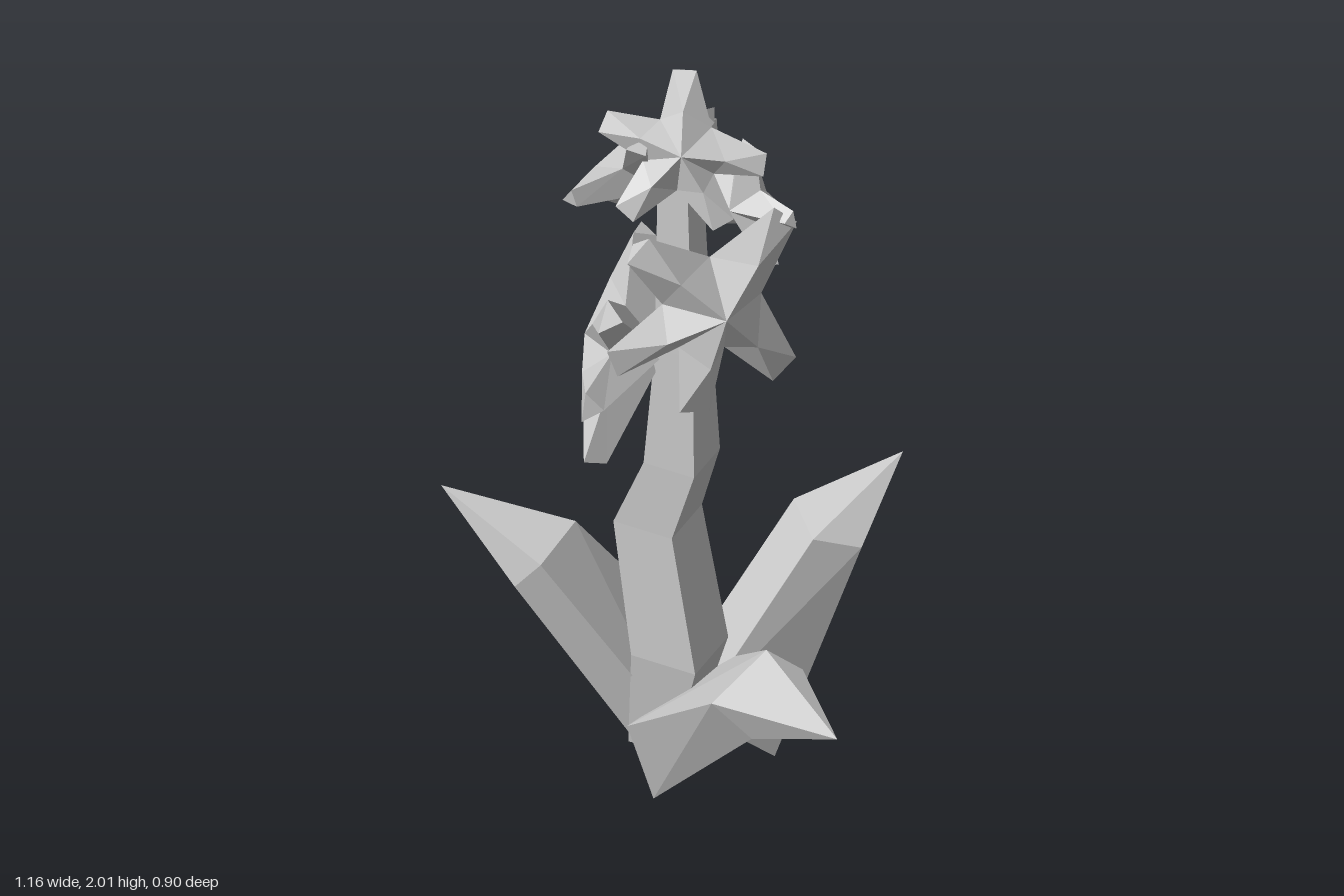
import * as THREE from 'three';

const V = (x, y, z) => new THREE.Vector3(x, y, z);
const grey = new THREE.MeshStandardMaterial({ color: 0xcccccc, flatShading: true });

// Closed faceted mesh from triangles; flips them all if they face inward
function solid(name, tris) {
  let volume = 0;
  for (const [a, b, c] of tris) volume += a.dot(b.clone().cross(c));
  const points = tris.flatMap(([a, b, c]) => (volume < 0 ? [a, c, b] : [a, b, c]));
  const geo = new THREE.BufferGeometry().setFromPoints(points);
  geo.computeVertexNormals();
  const mesh = new THREE.Mesh(geo, grey);
  mesh.name = name;
  return mesh;
}

// Skin between matching cross-sections, with both ends capped
function loft(name, rings) {
  const tris = [];
  const n = rings[0].length;
  for (let r = 0; r < rings.length - 1; r++) {
    for (let i = 0; i < n; i++) {
      const j = (i + 1) % n;
      const [a, b, c, d] = [rings[r][i], rings[r][j], rings[r + 1][j], rings[r + 1][i]];
      tris.push([a, b, c], [a, c, d]);
    }
  }
  const last = rings[rings.length - 1];
  for (let i = 1; i < n - 1; i++) {
    tris.push([rings[0][0], rings[0][i + 1], rings[0][i]], [last[0], last[i], last[i + 1]]);
  }
  return solid(name, tris);
}

// Thick leaf: four-cornered base and bend, drawn out to a pointed tip
function leaf(name, base, bend, tip) {
  const ring = (pts) => pts.map((p) => V(...p));
  return loft(name, [ring(base), ring(bend), Array(4).fill(V(...tip))]);
}

// Star flower: ridged petals with blunt tips around a raised centre
function flower(name, centre, normal, radius, degrees) {
  const n = V(...normal).normalize();
  const u = V(0, 1, 0).cross(n).normalize();
  const v = n.clone().cross(u);
  const at = (angle, r, h) => V(...centre)
    .addScaledVector(u, Math.cos(angle) * r * radius)
    .addScaledVector(v, Math.sin(angle) * r * radius)
    .addScaledVector(n, h * radius);
  const angles = degrees.map((d) => ((d + 360) % 360) * Math.PI / 180).sort((a, b) => a - b);
  const count = angles.length;
  const front = at(0, 0, 0.32);
  const back = at(0, 0, -0.35);
  // Valleys lie halfway between neighbouring petals
  const valleys = angles.map((a, i) => {
    const next = i + 1 < count ? angles[i + 1] : angles[0] + Math.PI * 2;
    return at((a + next) / 2, 0.46, 0);
  });
  const tris = [];
  angles.forEach((a, i) => {
    const va = valleys[(i + count - 1) % count];
    const vb = valleys[i];
    const ridge = at(a, 0.52, 0.2);
    const left = at(a - 0.14, 1, 0.06);
    const right = at(a + 0.14, 1, 0.06);
    const under = at(a, 0.96, -0.1);
    tris.push(
      [front, va, ridge], [front, ridge, vb],
      [va, left, ridge], [ridge, left, right], [ridge, right, vb],
      [back, under, va], [back, vb, under],
      [va, under, left], [vb, right, under], [left, under, right],
    );
  });
  return solid(name, tris);
}

export function createModel() {
  const model = new THREE.Group();
  model.name = 'floweringPlant';

  // Kinked square stem: centre x, y, z and half width of each section
  const sections = [
    [-0.07, 0.15, 0.04, 0.055], [-0.02, 0.42, 0.05, 0.08], [-0.075, 0.77, 0.05, 0.073],
    [-0.008, 0.96, 0.063, 0.063], [0, 1.28, 0.07, 0.047], [-0.015, 1.8, 0.06, 0.036],
  ];
  model.add(loft('stem', sections.map(([x, y, z, h]) =>
    [[1, 1], [1, -1], [-1, -1], [-1, 1]].map(([sx, sz]) => V(x + sx * h, y, z + sz * h)))));

  // Three leaves spreading from the base
  model.add(leaf('sideLeaf',
    [[0, 0.2, 0.08], [-0.04, 0.22, -0.19], [-0.14, 0.15, -0.19], [-0.08, 0.08, 0.06]],
    [[-0.29, 0.65, 0.2], [-0.29, 0.66, 0.03], [-0.37, 0.57, 0.03], [-0.36, 0.56, 0.19]],
    [-0.58, 0.72, 0.12]));
  model.add(leaf('frontLeaf',
    [[-0.11, 0.22, 0.13], [0.05, 0.34, -0.06], [0.12, 0.21, -0.1], [-0.07, 0, 0.08]],
    [[0.24, 0.58, 0.4], [0.3, 0.65, 0.25], [0.38, 0.61, 0.23], [0.33, 0.5, 0.38]],
    [0.58, 0.63, 0.45]));
  model.add(leaf('backLeaf',
    [[-0.09, 0.25, -0.12], [0.02, 0.24, 0.05], [0.14, 0.07, -0.1], [0.02, 0.06, -0.24]],
    [[0.09, 0.64, -0.29], [0.21, 0.66, -0.15], [0.295, 0.62, -0.22], [0.18, 0.58, -0.35]],
    [0.28, 0.73, -0.45]));

  // Flowers around the upper stem
  model.add(
    flower('topFlower', [0.01, 1.83, 0.1], [0.4, 0.42, 0.8], 0.19, [88, -8, 158, 228, 300]),
    flower('upperSideFlower', [-0.12, 1.71, 0.03], [-0.7, 0.55, -0.3], 0.21, [-3, 62, 122, 182, 268]),
    flower('backFlower', [0.09, 1.61, -0.07], [0.4, 0.05, -0.9], 0.16, [90, 12, 168, 245, 315]),
    flower('largeFlower', [0.1, 1.46, 0.13], [0.75, 0.1, 0.6], 0.265, [46, 132, -52, 197, 257]),
    flower('lowerSideFlower', [-0.13, 1.26, 0.11], [-0.95, 0.1, 0.2], 0.28, [3, 48, 107, 215, -54]),
  );
  return model;
}
